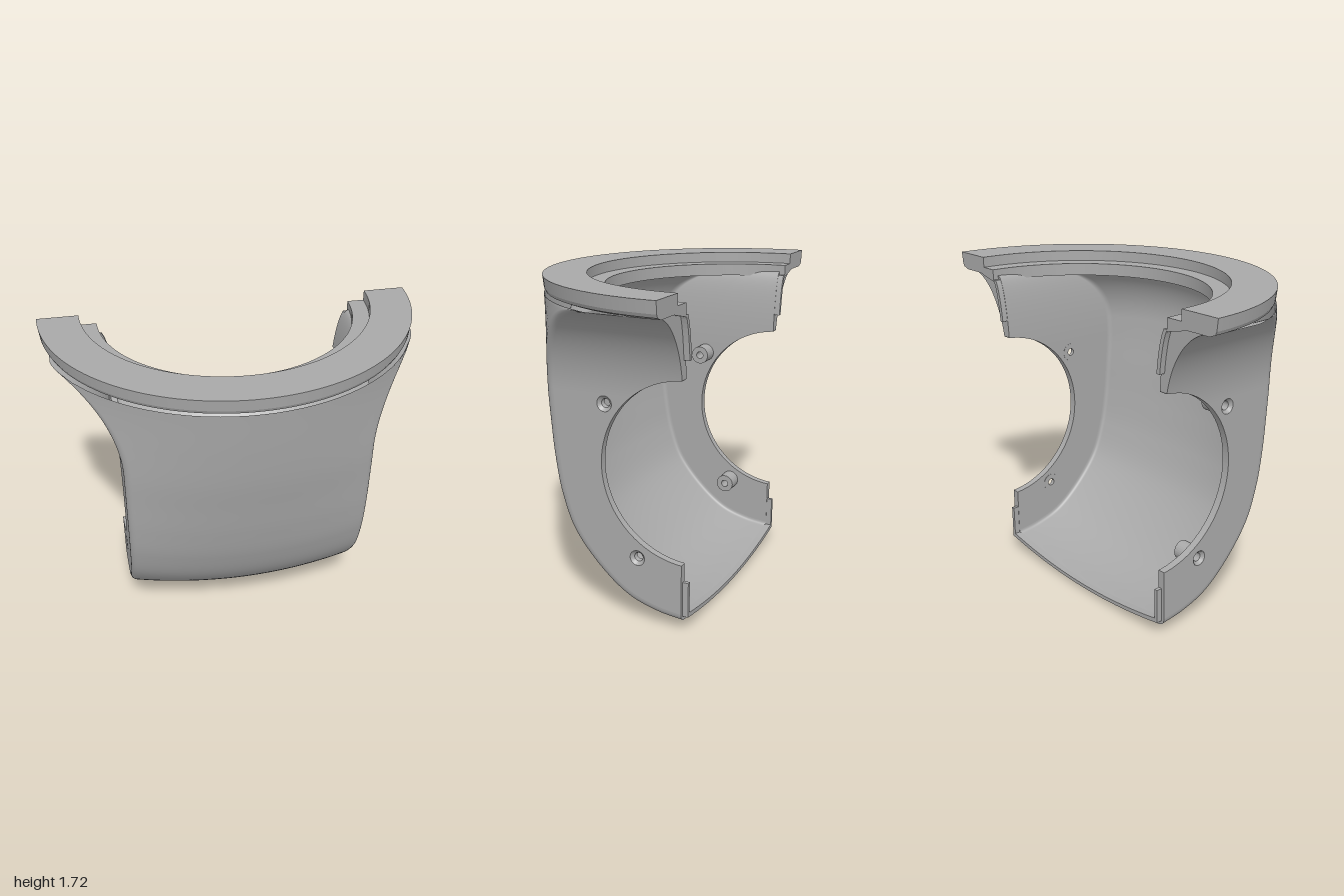
import * as THREE from 'three';

const BACK = -0.47, SPLIT = 1.18, WALL = 0.65, THICK = 0.04;
const HOLE = { z: -0.5, y: 0.83, r: 0.465 };
const SCREWS = [[-0.055, 1.135], [-0.23, 0.36]];
const clamp = THREE.MathUtils.clamp;

// quarter-ellipse easing from 0 at y0 to 1 at 1.63
function flare(y, y0) {
  const t = clamp((y - y0) / (1.63 - y0), 0, 1);
  return 1 - Math.sqrt(1 - t * t);
}
const outerWidth = y => WALL + 0.3 * flare(y, SPLIT);
const innerWidth = y => WALL - THICK + 0.08 * flare(y, SPLIT);

// rear limit of the side wall, following the round side opening
function rearZ(y) {
  const h = HOLE.r ** 2 - (y - HOLE.y) ** 2;
  return h > 0 ? Math.max(BACK, HOLE.z + Math.sqrt(h)) : BACK;
}

// centre-line profile, stored as (z, y)
const profile = new THREE.CatmullRomCurve3([
  [0.49, 1.63], [0.46, 1.38], [0.43, 1.18], [0.393, 1.0], [0.35, 0.8], [0.293, 0.6],
  [0.2, 0.4], [0.02, 0.2], [-0.15, 0.08], [-0.32, 0.025], [-0.47, 0.005],
].map(([z, y]) => new THREE.Vector3(z, y, 0)));

// half cross-section from the centre line to the end of the rounded corner
function section(u, inner) {
  const p = profile.getPointAt(u), t = profile.getTangentAt(u);
  const a = Math.atan2(-t.x, -t.y) * clamp((SPLIT - p.y) / 0.5, 0, 1);
  const dz = -Math.cos(a), dy = Math.sin(a);
  const b = flare(p.y, 1.3);
  const w = inner ? innerWidth(p.y) : outerWidth(p.y);
  const f = inner ? 0.02 : 0.035;
  const depth = inner ? THICK + 0.25 * b : 0;
  let R = 1 + 2.5 * Math.pow(clamp(1 - p.y / 1.72, 0, 1), 1.7);
  if (inner) R = THREE.MathUtils.lerp(R - THICK, 0.7, b);
  const sag = x => R - Math.sqrt(Math.max(0, R * R - x * x));
  const pts = [];
  const add = (x, s) => pts.push([x, p.y + dy * (s + depth), Math.max(BACK, p.z + p.x + dz * (s + depth))]);
  for (let i = 0; i <= 14; i++) add((w - f) * i / 14, sag((w - f) * i / 14));
  for (let i = 1; i <= 6; i++) {
    const k = i / 6, m = 1 - k;
    add(m * m * (w - f) + (1 - m * m) * w,
      m * m * sag(w - f) + 2 * m * k * sag(w) + k * k * (sag(w) + f));
  }
  return pts;
}

// mirror a half section into a full row running from -x to +x
const fullRow = half => [...half.slice(1).reverse().map(([x, y, z]) => [-x, y, z]), ...half];

// smooth surface through rows of points
function grid(rows, flip = false) {
  const n = rows[0].length, index = [];
  for (let i = 0; i < rows.length - 1; i++) {
    for (let j = 0; j < n - 1; j++) {
      const a = i * n + j, b = a + 1, c = a + n, d = c + 1;
      if (flip) index.push(a, b, c, b, d, c);
      else index.push(a, c, b, b, c, d);
    }
  }
  const g = new THREE.BufferGeometry();
  g.setAttribute('position', new THREE.Float32BufferAttribute(rows.flat(2), 3));
  g.setIndex(index);
  g.computeVertexNormals();
  return g;
}

export function createModel() {
  const group = new THREE.Group();
  const grey = new THREE.MeshStandardMaterial({ color: 0xa9a9a9, side: THREE.DoubleSide });
  grey.name = 'grey plastic';
  const add = (name, geometry) => {
    const m = new THREE.Mesh(geometry, grey);
    m.name = name;
    group.add(m);
    return m;
  };

  // parameter where the flat side walls begin to flare
  let lo = 0, hi = 1;
  for (let i = 0; i < 40; i++) {
    const mid = (lo + hi) / 2;
    if (profile.getPointAt(mid).y > SPLIT) lo = mid; else hi = mid;
  }
  const halves = (u0, u1, n, inner) =>
    Array.from({ length: n + 1 }, (_, i) => section(u0 + (u1 - u0) * i / n, inner));

  // lower curved shell
  const lowOut = halves(lo, 1, 110, false), lowIn = halves(lo, 1, 110, true);
  add('lowerShellOutside', grid(lowOut.map(fullRow)));
  add('lowerShellInside', grid(lowIn.map(fullRow), true));
  add('bottomEdge', grid([fullRow(lowOut.at(-1)), fullRow(lowIn.at(-1))]));

  // upper shell with side walls flaring out to the rim
  const withWall = half => {
    const [x, y, z] = half.at(-1), zb = Math.min(z, rearZ(y));
    return [...half, [x, y, (z + zb) / 2], [x, y, zb]];
  };
  const upOut = halves(0, lo, 70, false).map(withWall), upIn = halves(0, lo, 70, true).map(withWall);
  add('upperShellOutside', grid(upOut.map(fullRow)));
  add('upperShellInside', grid(upIn.map(fullRow), true));
  for (const s of [1, -1]) {
    const edge = rows => rows.map(r => [r.at(-1)[0] * s, r.at(-1)[1], r.at(-1)[2]]);
    add('upperWallEdge', grid([edge(upOut), edge(upIn)], s < 0));
  }

  // flat side walls with the round opening and screw holes
  const outline = lowOut.map(h => new THREE.Vector2(h.at(-1)[2], h.at(-1)[1]));
  const a0 = -Math.acos((BACK - HOLE.z) / HOLE.r), a1 = Math.asin((SPLIT - HOLE.y) / HOLE.r);
  for (let i = 0; i <= 60; i++) {
    const a = a0 + (a1 - a0) * i / 60;
    outline.push(new THREE.Vector2(HOLE.z + HOLE.r * Math.cos(a), HOLE.y + HOLE.r * Math.sin(a)));
  }
  const wall = new THREE.Shape(outline);
  for (const [z, y] of SCREWS) wall.holes.push(new THREE.Path().absarc(z, y, 0.04, 0, Math.PI * 2, true));
  for (const s of [1, -1]) {
    const g = new THREE.ExtrudeGeometry(wall, { depth: THICK, bevelEnabled: false, curveSegments: 24 });
    g.rotateY(-Math.PI / 2).translate(s > 0 ? WALL : -WALL + THICK, 0, 0);
    add('sideWall', g);

    // countersunk screw seats, with long bosses on one side only
    for (const [z, y] of SCREWS) {
      const len = s < 0 ? 0.13 : THICK + 0.002;
      const seat = [[0.04, 0], [0.023, 0.016], [0.02, len], [0.05, len], [0.05, THICK - 0.005]];
      const lathe = new THREE.LatheGeometry(seat.map(([r, d]) => new THREE.Vector2(r, -d)), 28);
      lathe.rotateZ(-s * Math.PI / 2).translate(s * WALL, y, z);
      add('screwSeat', lathe.toNonIndexed()).geometry.computeVertexNormals();
    }
  }

  // half-round top rim with recessed inner ledge
  const rim = [[0.69, 1.6], [0.69, 1.665], [0.78, 1.665], [0.78, 1.72], [1, 1.72],
    [0.993, 1.66], [0.985, 1.643], [0.95, 1.63], [0.82, 1.63], [0.69, 1.6]]
    .map(([x, y]) => new THREE.Vector2(x, y));
  for (let i = 0; i < rim.length - 1; i++) {
    const g = new THREE.LatheGeometry([rim[i + 1], rim[i]], 80, -Math.PI / 2, Math.PI);
    add('topRim', g.translate(0, 0, -0.5));
  }
  for (const s of [1, -1]) {
    const cap = new THREE.ShapeGeometry(new THREE.Shape(rim.slice(0, -1).map(p => new THREE.Vector2(-p.x, p.y))));
    cap.rotateY(Math.PI).translate(s > 0 ? 0 : -2 * 0.845, 0, -0.5);
    if (s < 0) {
      const pos = cap.attributes.position;
      for (let i = 0; i < pos.count; i++) pos.setX(i, -(pos.getX(i) + 2 * 0.845));
      cap.setIndex([...cap.index.array].reverse());
    }
    add('rimEnd', cap);
  }

  // joining tongues along the rear edges
  const tongue = (name, pts) => {
    const shape = new THREE.Shape(pts.map(([x, y]) => new THREE.Vector2(x, y)));
    const g = new THREE.ExtrudeGeometry(shape, { depth: 0.04, bevelEnabled: false });
    add(name, g.translate(0, 0, -0.5));
  };
  const low = (w, y0) => {
    const pts = [[-w, 0.27]];
    for (let i = -12; i <= 12; i++) pts.push([w * i / 12, y0 + 0.06 * (i / 12) ** 2]);
    return [...pts, [w, 0.27]];
  };
  tongue('lowerTongue', [...low(0.632, 0.025), ...low(0.612, 0.045).reverse()]);
  for (const s of [1, -1]) {
    const side = d => Array.from({ length: 11 }, (_, i) => {
      const y = 1.39 + 0.022 * i;
      return [s * (innerWidth(y) + d), y];
    });
    tongue('upperTongue', [...side(0.002), ...side(0.024).reverse()]);
  }
  return group;
}
